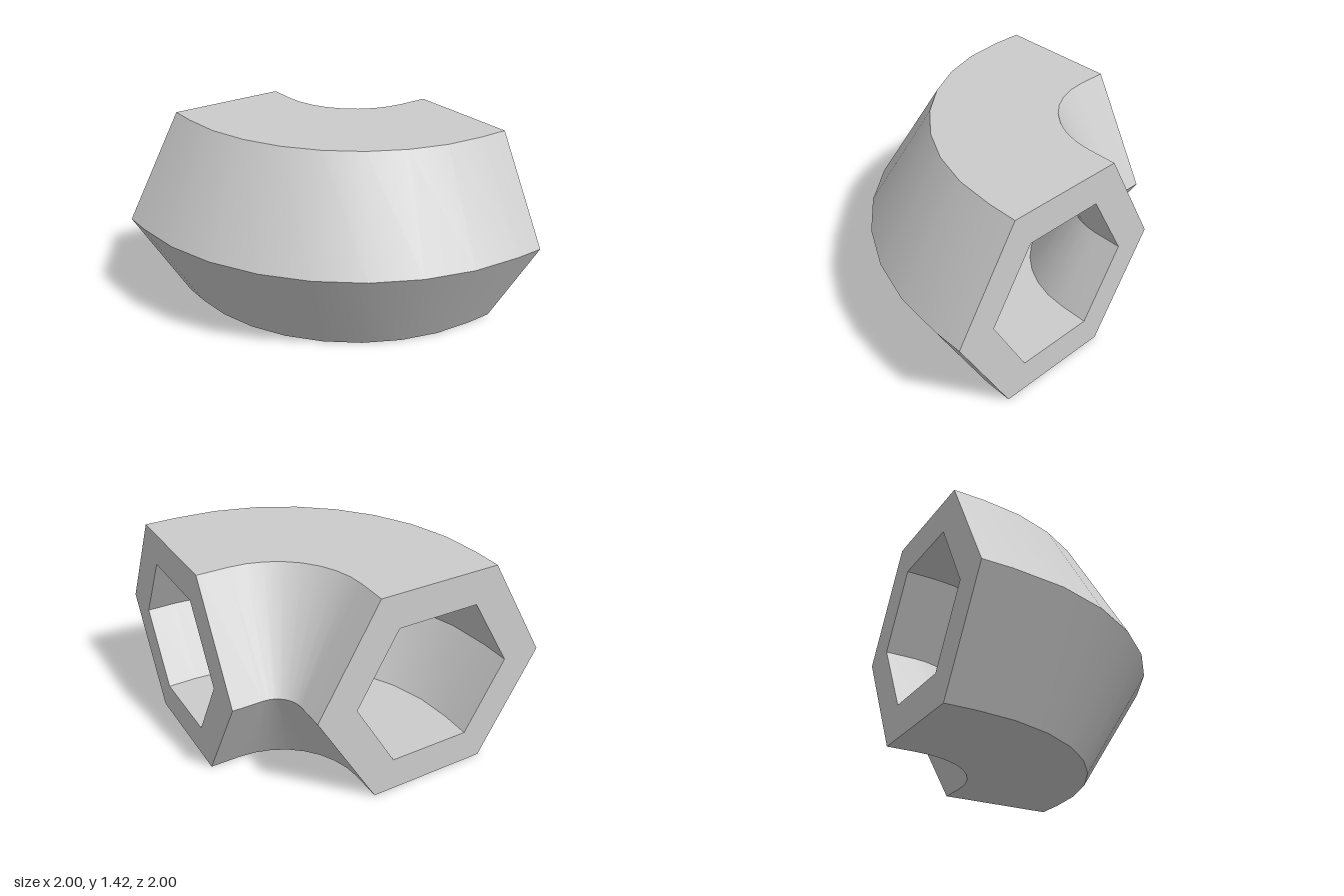
import * as THREE from 'three';

const BEND = -0.8;          // x and z of the bend centre
const RADIUS = 0.982;       // bend radius of the pipe axis
const OUTER = 0.818;        // hexagon corner radius of the outside
const INNER = 0.552;        // hexagon corner radius of the bore
const MID = OUTER * Math.sqrt(3) / 2;
const SEGMENTS = 8;

// Hexagon corners, counter-clockwise, with a corner pointing sideways
function hexagon(radius) {
  return Array.from({ length: 6 }, (_, k) => {
    const a = k * Math.PI / 3;
    return new THREE.Vector2(radius * Math.cos(a), radius * Math.sin(a));
  });
}

// Stations along the path: straight lead-in, quarter bend, straight lead-out
const stations = [{ angle: 0, dx: 0, dz: -0.2 }];
for (let i = 0; i <= SEGMENTS; i++) stations.push({ angle: i / SEGMENTS * Math.PI / 2, dx: 0, dz: 0 });
stations.push({ angle: Math.PI / 2, dx: -0.2, dz: 0 });

// One side of the hexagon swept along the path, smooth along its length
function sweepSide(a, b) {
  const positions = [], index = [];
  stations.forEach(({ angle, dx, dz }, i) => {
    for (const p of [a, b]) {
      const r = RADIUS + p.x;
      positions.push(BEND + r * Math.cos(angle) + dx, MID + p.y, BEND + r * Math.sin(angle) + dz);
    }
    if (i > 0) {
      const n = 2 * i;
      index.push(n - 2, n - 1, n + 1, n - 2, n + 1, n);
    }
  });
  const geometry = new THREE.BufferGeometry();
  geometry.setAttribute('position', new THREE.Float32BufferAttribute(positions, 3));
  geometry.setIndex(index);
  geometry.computeVertexNormals();
  return geometry;
}

export function createModel() {
  const model = new THREE.Group();
  model.name = 'hexagonalPipeElbow';
  const material = new THREE.MeshStandardMaterial({ color: 0xcccccc });

  // Outer wall, and the bore with its faces turned inward
  function addWall(name, corners) {
    const wall = new THREE.Group();
    wall.name = name;
    corners.forEach((corner, k) => {
      const side = new THREE.Mesh(sweepSide(corner, corners[(k + 1) % 6]), material);
      side.name = `${name}Side${k + 1}`;
      wall.add(side);
    });
    model.add(wall);
  }
  addWall('outerWall', hexagon(OUTER));
  addWall('bore', hexagon(INNER).reverse());

  // Flat hexagonal rims closing the wall at both ends
  const rimShape = new THREE.Shape(hexagon(OUTER));
  rimShape.holes.push(new THREE.Path(hexagon(INNER)));
  const rimGeometry = new THREE.ShapeGeometry(rimShape);
  function addRim(name, x, z, turn) {
    const rim = new THREE.Mesh(rimGeometry, material);
    rim.name = name;
    rim.position.set(x, MID, z);
    rim.rotation.y = turn;
    model.add(rim);
  }
  addRim('backRim', BEND + RADIUS, -1, Math.PI);
  addRim('sideRim', -1, BEND + RADIUS, -Math.PI / 2);

  return model;
}
